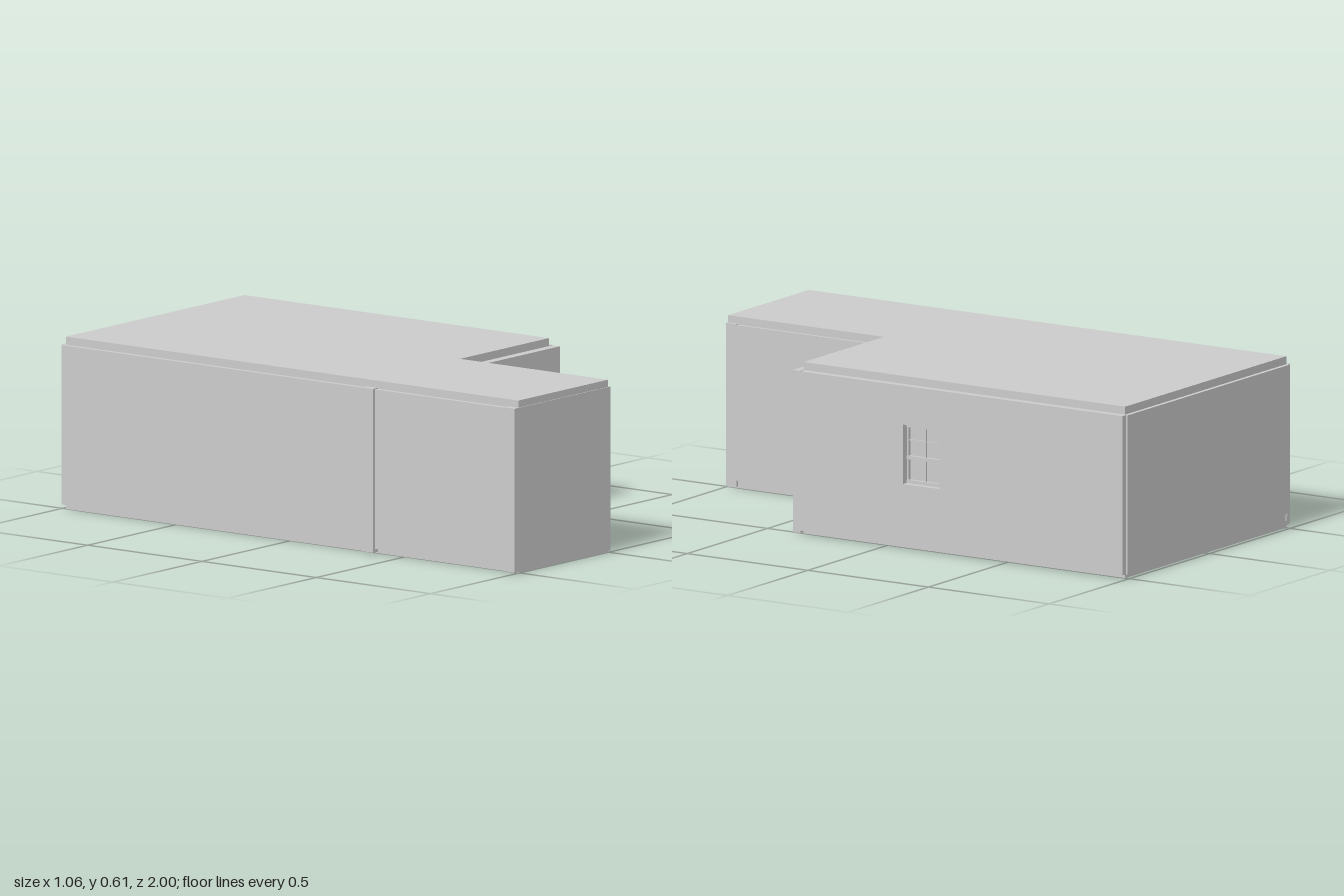
import * as THREE from 'three';

const material = new THREE.MeshStandardMaterial({ color: 0xcccccc });

export function createModel() {
  const room = new THREE.Group();
  room.name = 'lShapedRoom';

  // Box given by its extents along each axis
  const box = (name, [x0, x1], [y0, y1], [z0, z1], parent = room) => {
    const mesh = new THREE.Mesh(new THREE.BoxGeometry(x1 - x0, y1 - y0, z1 - z0), material);
    mesh.position.set((x0 + x1) / 2, (y0 + y1) / 2, (z0 + z1) / 2);
    mesh.name = name;
    parent.add(mesh);
    return mesh;
  };

  // L-shaped slabs; the shape's y axis becomes -z
  const outline = new THREE.Shape(
    [[-0.503, -0.997], [0, -0.997], [0, -0.35], [0.5, -0.35], [0.5, 0.983], [-0.503, 0.983]]
      .map(([x, y]) => new THREE.Vector2(x, y)));
  const slab = (name, y, height) => {
    const geometry = new THREE.ExtrudeGeometry(outline, { depth: height, bevelEnabled: false });
    geometry.rotateX(-Math.PI / 2);
    const mesh = new THREE.Mesh(geometry, material);
    mesh.position.y = y;
    mesh.name = name;
    room.add(mesh);
  };
  slab('floor', 0, 0.028);
  slab('ceiling', 0.575, 0.03);

  // Plain walls
  box('wingFrontWall', [-0.528, 0.01], [0.005, 0.58], [0.955, 1]);
  box('wingInnerWall', [0, 0.011], [0.028, 0.577], [0.35, 0.998]);
  box('partitionWall', [-0.53, 0.52], [0.005, 0.577], [0.35, 0.382]);
  box('partitionEnd', [-0.53, -0.5], [0.005, 0.58], [0.335, 0.382]);
  box('wingOuterWall', [-0.52, -0.503], [0.018, 0.577], [0.382, 0.955]);
  box('mainOuterWall', [-0.52, -0.503], [0.018, 0.577], [-0.988, 0.335]);
  box('backWall', [-0.503, 0.505], [0.015, 0.577], [-0.997, -0.983]);
  box('backSocket', [-0.49, -0.478], [0.03, 0.052], [-1, -0.997]);

  // Window wall with a real opening, in (-z, y) coordinates turned to face +x
  const wall = new THREE.Shape();
  wall.moveTo(-0.345, 0.015).lineTo(0.99, 0.015).lineTo(0.99, 0.577).lineTo(-0.345, 0.577).closePath();
  const hole = new THREE.Path();
  hole.moveTo(0.08, 0.23).lineTo(0.08, 0.44).lineTo(0.23, 0.44).lineTo(0.23, 0.23).closePath();
  wall.holes.push(hole);
  const wallGeometry = new THREE.ExtrudeGeometry(wall, { depth: 0.027, bevelEnabled: false });
  wallGeometry.rotateY(Math.PI / 2);
  const windowWall = new THREE.Mesh(wallGeometry, material);
  windowWall.position.x = 0.5;
  windowWall.name = 'windowWall';
  room.add(windowWall);

  // Sash window set at the back of the opening
  const sash = new THREE.Group();
  sash.name = 'window';
  room.add(sash);
  box('glass', [0.49, 0.494], [0.23, 0.44], [-0.23, -0.08], sash);
  for (const [y0, y1] of [[0.23, 0.242], [0.315, 0.327], [0.428, 0.44]])
    box('rail', [0.488, 0.506], [y0, y1], [-0.23, -0.08], sash);
  for (const z of [-0.226, -0.084])
    box('stile', [0.488, 0.504], [0.23, 0.44], [z - 0.004, z + 0.004], sash);
  box('mullion', [0.488, 0.5], [0.23, 0.44], [-0.158, -0.152], sash);
  box('glazingBar', [0.488, 0.499], [0.379, 0.384], [-0.23, -0.08], sash);

  return room;
}
